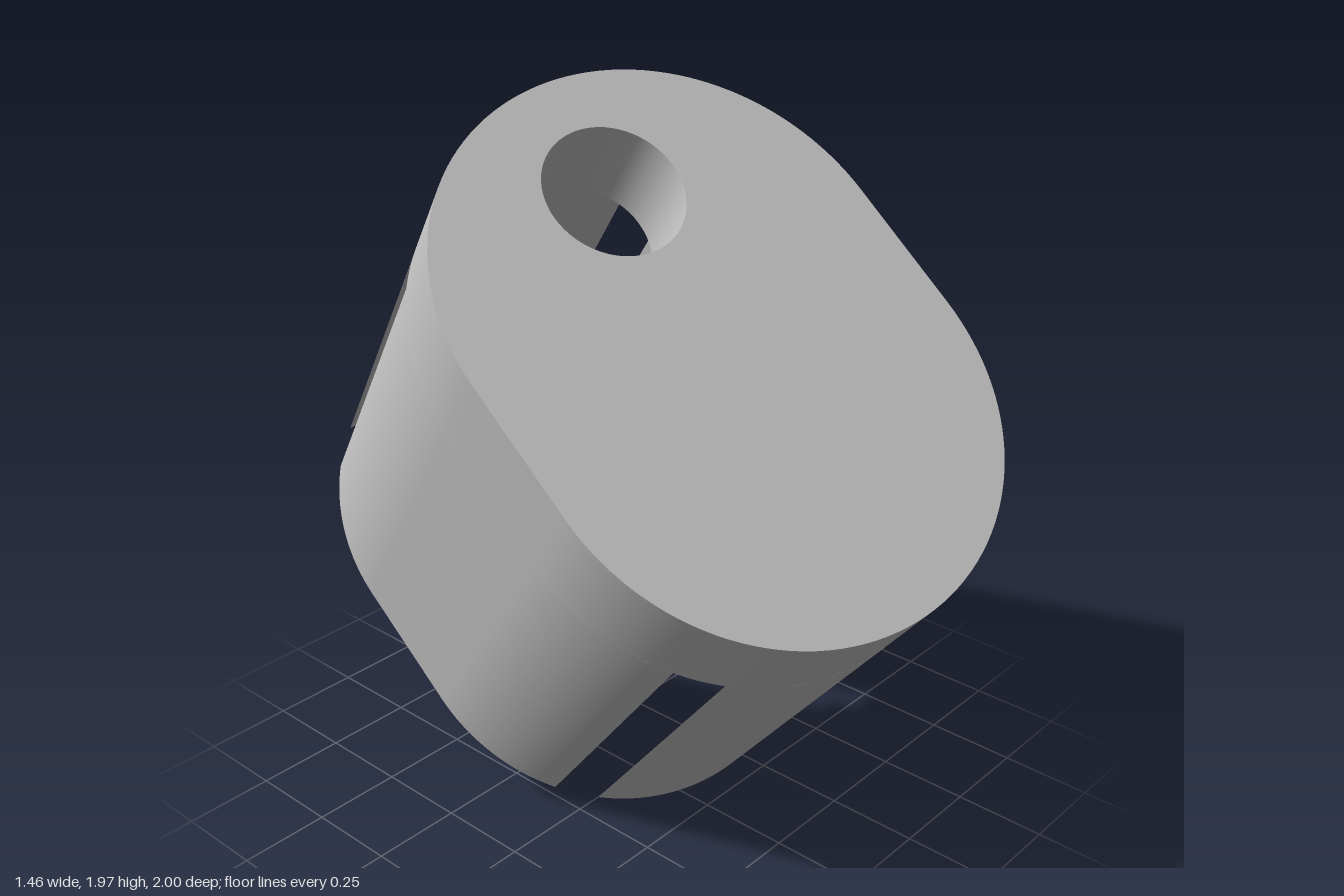
import * as THREE from 'three';
import { toCreasedNormals } from 'three/addons/utils/BufferGeometryUtils.js';

const R = 0.593;        // radius of the rounded ends
const D = 0.177;        // offset of each rounded end from the axis
const W = 0.461;        // half width of the rectangular cavity (half length is W + D)
const HEIGHT = 1.28;
const PLATE = 0.265;    // thickness of the closed end

export function createModel() {
  const grey = new THREE.MeshStandardMaterial({ color: 0xc0c0c0 });
  grey.name = 'plain grey';

  const model = new THREE.Group();
  model.name = 'slottedCap';

  // Extrudes a profile along the cap's axis, between two heights
  const addPart = (name, shape, from, to, turn = 0) => {
    const geo = new THREE.ExtrudeGeometry(shape, {
      depth: to - from, bevelEnabled: false, curveSegments: 32,
    });
    geo.translate(0, 0, from);
    geo.rotateZ(turn);
    const mesh = new THREE.Mesh(toCreasedNormals(geo, 0.5), grey);
    mesh.name = name;
    body.add(mesh);
  };

  const body = new THREE.Group();
  body.name = 'body';
  model.add(body);

  const top = HEIGHT / 2;
  const ceiling = top - PLATE;

  // Closed end: rounded oblong plate with an off-centre round hole
  const plate = new THREE.Shape();
  plate.absarc(0, D, R, 0, Math.PI, false);
  plate.absarc(0, -D, R, Math.PI, Math.PI * 2, false);
  plate.closePath();
  const hole = new THREE.Path();
  hole.absarc(0, 0.447, 0.178, 0, Math.PI * 2, true);
  plate.holes.push(hole);
  addPart('endPlate', plate, ceiling, top);

  // Long side walls: flat inside, straight then rounded outside
  const phi = Math.acos(W / R);
  const side = new THREE.Shape();
  side.absarc(0, -D, R, -phi, 0, false);
  side.absarc(0, D, R, 0, phi, false);
  side.closePath();

  // End walls: circular segments; gaps between the walls form the four slots
  const alpha = Math.asin(W / R);
  const end = new THREE.Shape();
  end.absarc(0, D, R, alpha, Math.PI - alpha, false);
  end.closePath();

  [['Left', 0], ['Right', Math.PI]].forEach(([s, turn]) => addPart('sideWall' + s, side, -top, ceiling, turn));
  [['Back', 0], ['Front', Math.PI]].forEach(([s, turn]) => addPart('endWall' + s, end, -top, ceiling, turn));

  // Tilt the axis up, forward and slightly to the right
  const axis = new THREE.Vector3(-0.242, 0.742, 0.625).normalize();
  const across = new THREE.Vector3(1, 0, 0).addScaledVector(axis, -axis.x).normalize();
  const along = new THREE.Vector3().crossVectors(axis, across);
  body.quaternion.setFromRotationMatrix(new THREE.Matrix4().makeBasis(across, along, axis));
  body.position.y = 0.988;

  return model;
}
